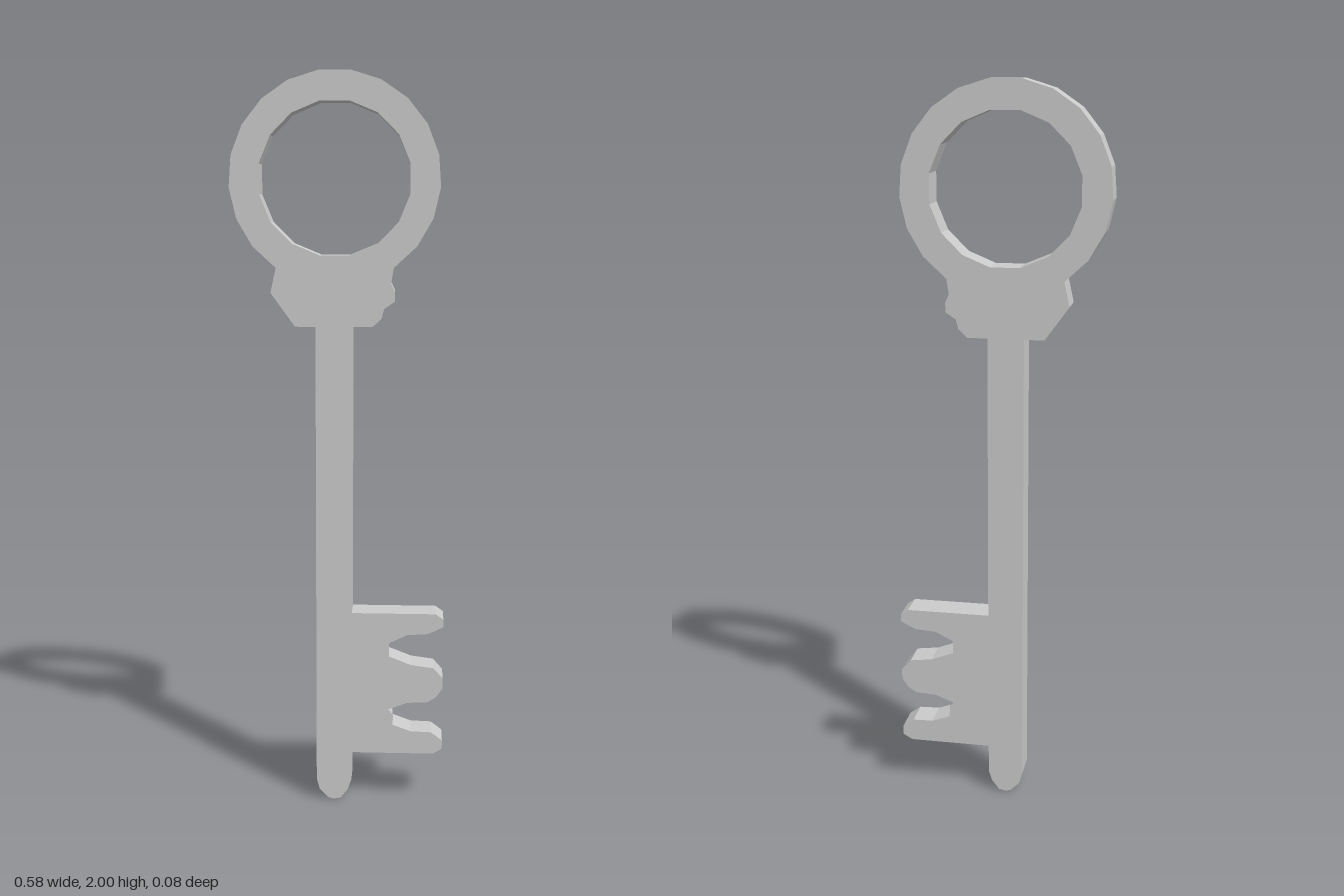
import * as THREE from 'three';

const DEPTH = 0.084;
const CENTER = [-0.012, 1.723]; // middle of the ring

// Points on a circular arc around the ring centre, angles in degrees
function arc(radius, from, to, segments) {
  return Array.from({ length: segments + 1 }, (_, i) => {
    const a = THREE.MathUtils.degToRad(from + (to - from) * i / segments);
    return [CENTER[0] + radius * Math.cos(a), CENTER[1] + radius * Math.sin(a)];
  });
}

const toVectors = (points) => points.map(([x, y]) => new THREE.Vector2(x, y));

export function createModel() {
  // Rounded end of the shaft
  const tip = [[-0.063, 0.06], [-0.055, 0.03], [-0.03, 0.004], [-0.015, 0],
    [0.005, 0.004], [0.025, 0.03], [0.035, 0.06]];

  // Three teeth with the notches between them, from bottom to top
  const teeth = [
    [0.035, 0.14], [0.262, 0.14], [0.288, 0.155], [0.288, 0.18], [0.257, 0.203],
    [0.2, 0.205], [0.15, 0.223], [0.148, 0.255], [0.138, 0.268], [0.19, 0.288],
    [0.246, 0.291], [0.27, 0.306], [0.288, 0.332], [0.288, 0.36], [0.262, 0.39],
    [0.2, 0.398], [0.138, 0.422], [0.138, 0.46], [0.188, 0.484], [0.246, 0.488],
    [0.288, 0.508], [0.288, 0.53], [0.267, 0.545], [0.035, 0.545],
  ];

  // Stepped collar side on the left, plain slanted side on the right
  const collarLeft = [[0.035, 1.335], [0.09, 1.335], [0.113, 1.357], [0.12, 1.383],
    [0.148, 1.402], [0.148, 1.428], [0.138, 1.45]];
  const collarRight = [[-0.183, 1.425], [-0.118, 1.335], [-0.063, 1.335]];

  // Faceted ring, open towards the collar
  const ring = arc(0.28, -56, 236, 17);

  const outline = new THREE.Shape(toVectors([...tip, ...teeth, ...collarLeft, ...ring, ...collarRight]));
  outline.holes.push(new THREE.Path(toVectors(arc(0.203, 11.25, -326.25, 15))));

  const geometry = new THREE.ExtrudeGeometry(outline, { depth: DEPTH, bevelEnabled: false });
  geometry.translate(0, 0, -DEPTH / 2);

  const key = new THREE.Mesh(geometry, new THREE.MeshStandardMaterial({ color: 0xcccccc, flatShading: true }));
  key.name = 'keyBody';

  const group = new THREE.Group();
  group.name = 'key';
  group.add(key);
  return group;
}
